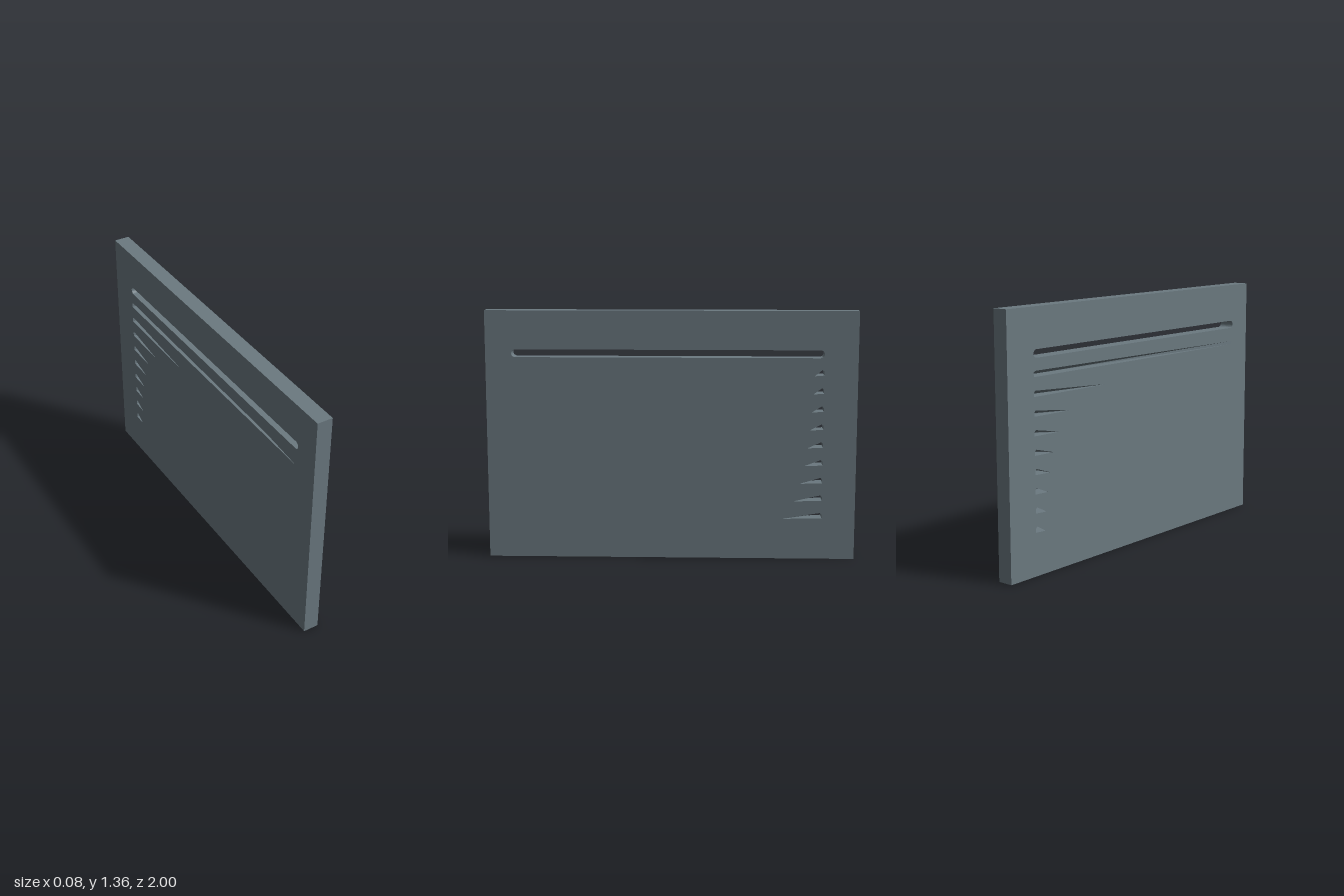
import * as THREE from 'three';

const HALF = 0.042; // half thickness of the panel
const HEIGHT = 1.355;
const END = 0.82; // shared rear end of all slots (u = -z)

const material = new THREE.MeshStandardMaterial({ color: 0x6b7980, flatShading: true });

// Flat wall joining a loop on the +x face to the matching loop on the -x face
function wall(a, b) {
  const pos = [];
  const put = (p, x) => pos.push(x, p.y, -p.x);
  for (let j = 0; j < a.length; j++) {
    const k = (j + 1) % a.length;
    put(a[j], HALF); put(b[j], -HALF); put(b[k], -HALF);
    put(a[j], HALF); put(b[k], -HALF); put(a[k], HALF);
  }
  const g = new THREE.BufferGeometry();
  g.setAttribute('position', new THREE.Float32BufferAttribute(pos, 3));
  g.computeVertexNormals();
  return g;
}

// Panel face with slot openings; side is +1 or -1 along x
function face(outline, holes, side) {
  const shape = new THREE.Shape(outline);
  shape.holes = holes.map((h) => new THREE.Path(h));
  const g = new THREE.ShapeGeometry(shape);
  g.rotateY(Math.PI / 2).translate(side * HALF, 0, 0);
  if (side < 0) {
    g.index.array.reverse();
    g.computeVertexNormals();
  }
  return g;
}

// Clockwise opening that tapers from the shared end towards its tip
function taper(y, length, tipHeight = 0.002) {
  const tip = END - length;
  return [[tip, 0], [tip, tipHeight], [END - 0.01, 0.034], [END, 0.026], [END, 0.004]]
    .map(([u, v]) => new THREE.Vector2(u, y + v));
}

// Clockwise round-ended opening
function roundedSlot(u0, u1, y, r, steps = 12) {
  const pts = [];
  for (const [cu, start] of [[u0 + r, -Math.PI / 2], [u1 - r, Math.PI / 2]]) {
    for (let i = 0; i <= steps; i++) {
      const t = start - (i / steps) * Math.PI;
      pts.push(new THREE.Vector2(cu + r * Math.cos(t), y + r * Math.sin(t)));
    }
  }
  return pts;
}

export function createModel() {
  const group = new THREE.Group();
  const add = (name, geometry) => {
    const mesh = new THREE.Mesh(geometry, material);
    mesh.name = name;
    group.add(mesh);
  };

  const outline = [[-1, 0], [1, 0], [1, HEIGHT], [-1, HEIGHT]].map(([u, v]) => new THREE.Vector2(u, v));

  // Straight top slot, then nine slots whose two openings taper oppositely
  const top = roundedSlot(-0.86, END, 1.125, 0.021);
  const slots = [{ right: top, left: top }];
  for (let i = 1; i <= 9; i++) {
    const y = 1.105 - 0.098 * i;
    slots.push({
      right: taper(y, 1 / (20 - 1.9 * (i - 1))),
      left: i === 1 ? taper(y, 1.67, 0.018) : taper(y, 1 / (1.95 * i - 2)),
    });
  }

  add('rightFace', face(outline, slots.map((s) => s.right), 1));
  add('leftFace', face(outline, slots.map((s) => s.left), -1));
  add('panelEdges', wall(outline, outline));
  slots.forEach((s, i) => add(`slotWall${i + 1}`, wall(s.right, s.left)));
  return group;
}
